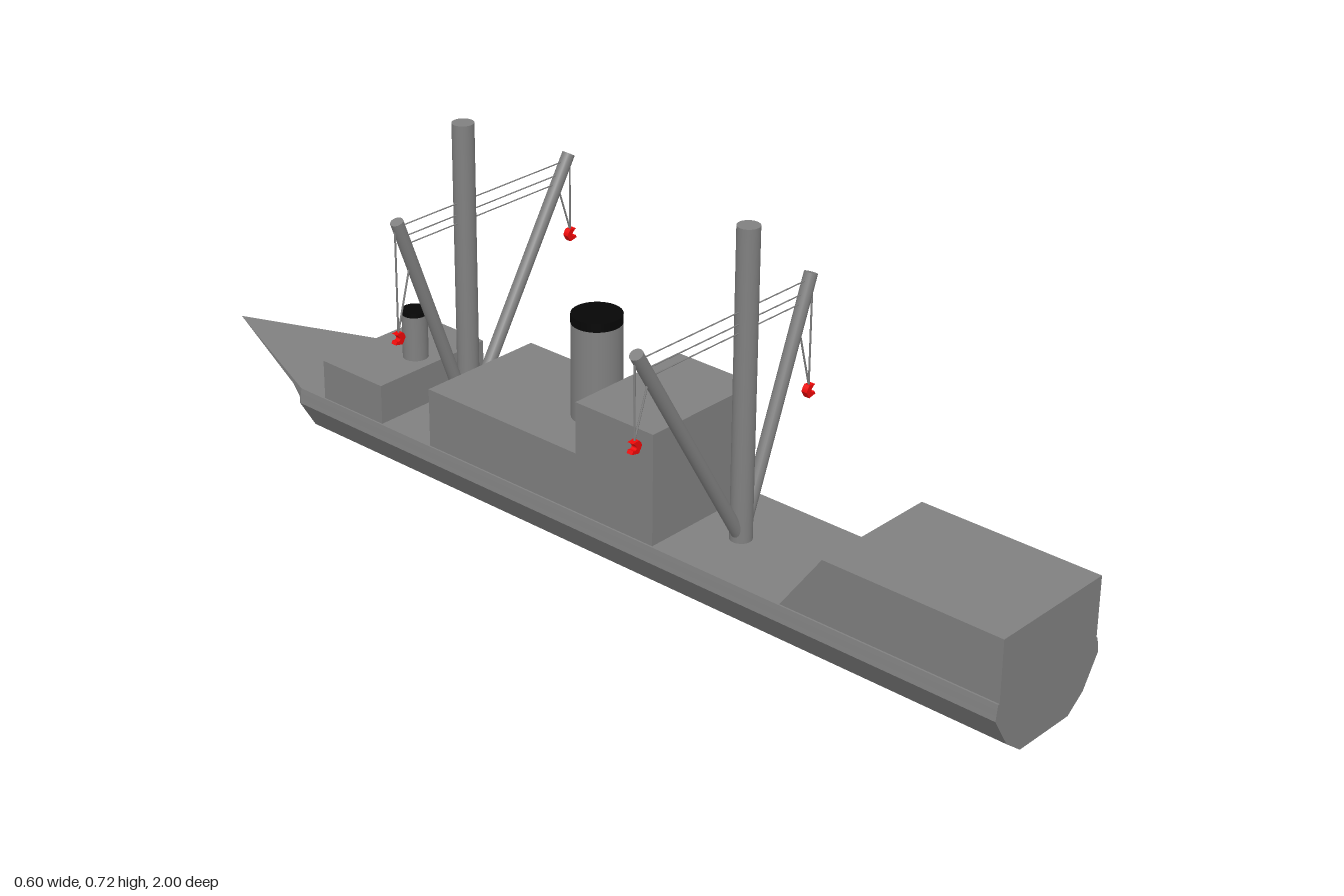
import * as THREE from 'three';

const grey = new THREE.MeshStandardMaterial({ color: 0x808080 });
const flatGrey = new THREE.MeshStandardMaterial({ color: 0x808080, flatShading: true });
const black = new THREE.MeshStandardMaterial({ color: 0x060606 });
const red = new THREE.MeshStandardMaterial({ color: 0xee0808 });
const V = (x, y, z) => new THREE.Vector3(x, y, z);

function add(parent, name, geometry, material) {
  const mesh = new THREE.Mesh(geometry, material);
  mesh.name = name;
  parent.add(mesh);
  return mesh;
}

// Cylinder running from point a to point b
function rod(parent, name, a, b, radius, sides, material = grey) {
  const dir = b.clone().sub(a);
  const mesh = add(parent, name, new THREE.CylinderGeometry(radius, radius, dir.length(), sides), material);
  mesh.position.copy(a).add(b).multiplyScalar(0.5);
  mesh.quaternion.setFromUnitVectors(V(0, 1, 0), dir.normalize());
}

// Chined hull: a constant section that closes onto a raked bow line
function hullGeometry() {
  const section = [[0.14, 0.12], [0.1417, 0.11], [0.1433, 0.1], [0.145, 0.09], [0.108, 0.03], [0.068, 0]];
  const ridge = [[0.12, -1], [0.097, -0.91], [0.081, -0.83], [0.065, -0.745], [0.03, -0.74], [0, -0.735]];
  const front = section.map(([x, y]) => V(x, y, 1));
  const shoulder = section.map(([x, y]) => V(x, y, -0.66));
  const bow = ridge.map(([y, z]) => V(0, y, z));
  const flip = p => V(-p.x, p.y, p.z);
  const out = [];
  const tri = (...pts) => pts.forEach(p => out.push(p.x, p.y, p.z));
  const quad = (a, b, c, d) => { tri(a, b, c); tri(a, c, d); };
  const last = section.length - 1;

  for (let i = 0; i < last; i++) {
    // side strips, mirrored
    for (const [p, q] of [[front, shoulder], [shoulder, bow]]) {
      quad(p[i], p[i + 1], q[i + 1], q[i]);
      quad(flip(q[i]), flip(q[i + 1]), flip(p[i + 1]), flip(p[i]));
    }
    // flat end
    quad(front[i], flip(front[i]), flip(front[i + 1]), front[i + 1]);
  }
  // deck and bottom
  quad(front[0], shoulder[0], flip(shoulder[0]), flip(front[0]));
  tri(shoulder[0], bow[0], flip(shoulder[0]));
  quad(flip(front[last]), flip(shoulder[last]), shoulder[last], front[last]);
  tri(flip(shoulder[last]), bow[last], shoulder[last]);

  const g = new THREE.BufferGeometry();
  g.setAttribute('position', new THREE.Float32BufferAttribute(out, 3));
  g.computeVertexNormals();
  return g;
}

// Deckhouse from a side profile of [z, y] points
function house(parent, name, profile) {
  const width = 0.273;
  const shape = new THREE.Shape(profile.map(([z, y]) => new THREE.Vector2(z, y)));
  const g = new THREE.ExtrudeGeometry(shape, { depth: width, bevelEnabled: false });
  g.translate(0, 0, -width / 2).rotateY(-Math.PI / 2);
  add(parent, name, g, flatGrey);
}

function funnel(parent, name, z, radius, y0, y1, band) {
  const g = new THREE.Group();
  g.name = name;
  rod(g, name + 'Pipe', V(0, y0, z), V(0, y1 - band, z), radius, 32);
  rod(g, name + 'Cap', V(0, y1 - band, z), V(0, y1, z), radius, 32, black);
  parent.add(g);
}

// Crescent hook opening towards +x
function hookGeometry() {
  const s = new THREE.Shape();
  s.moveTo(0.0105, 0.0105);
  s.lineTo(-0.005, 0.012);
  s.quadraticCurveTo(-0.011, 0.007, -0.0125, 0);
  s.lineTo(-0.005, -0.0125);
  s.lineTo(0.0125, -0.009);
  s.lineTo(0.009, -0.003);
  s.quadraticCurveTo(0.002, -0.006, 0, 0);
  s.quadraticCurveTo(0.001, 0.005, 0.0105, 0.0105);
  const g = new THREE.ExtrudeGeometry(s, { depth: 0.012, bevelEnabled: false, curveSegments: 6 });
  return g.translate(0, 0, -0.006);
}

// Mast with one long and one short boom; the long one points to +x
function crane(name) {
  const g = new THREE.Group();
  g.name = name;
  rod(g, 'mast', V(0, 0.12, 0), V(0, 0.72, 0), 0.021, 24);
  const booms = [
    { tip: V(0.279, 0.578, 0), hookX: 0.282, hookY: 0.41, guyY: 0.525 },
    { tip: V(-0.172, 0.577, 0), hookX: -0.177, hookY: 0.347, guyY: 0.493 },
  ];
  const foot = V(0, 0.12, 0);
  const onBoom = (b, y) => foot.clone().lerp(b.tip, (y - foot.y) / (b.tip.y - foot.y));
  for (const b of booms) {
    rod(g, 'boom', foot, b.tip, 0.0125, 20);
    const top = V(b.hookX, b.hookY + 0.01, 0);
    rod(g, 'hoistRope', top, V(b.hookX, 0.566, 0), 0.0018, 8);
    rod(g, 'guyRope', top, onBoom(b, b.guyY), 0.0018, 8);
    const hook = add(g, 'hook', hookGeometry(), red);
    hook.position.set(b.hookX, b.hookY, 0);
    if (b.hookX < 0) hook.rotation.y = Math.PI;
  }
  // ropes between the booms
  for (const y of [0.566, 0.543, 0.526])
    rod(g, 'spanRope', onBoom(booms[0], y), onBoom(booms[1], y), 0.0012, 6);
  return g;
}

export function createModel() {
  const model = new THREE.Group();
  model.name = 'cargoShip';
  const ship = new THREE.Group();
  ship.name = 'hullAndHouses';
  ship.position.x = 0.0035;
  model.add(ship);

  add(ship, 'hull', hullGeometry(), flatGrey);
  house(ship, 'endHouse', [[1, 0.12], [1, 0.24], [0.632, 0.24], [0.545, 0.12]]);
  house(ship, 'bridge', [[0.256, 0.12], [0.256, 0.34], [0.072, 0.34], [0.072, 0.238], [-0.303, 0.238], [-0.303, 0.12]]);
  house(ship, 'bowHouse', [[-0.434, 0.12], [-0.434, 0.2], [-0.595, 0.2], [-0.595, 0.12]]);
  funnel(ship, 'mainFunnel', -0.003, 0.048, 0.238, 0.443, 0.017);
  funnel(ship, 'smallFunnel', -0.481, 0.025, 0.2, 0.3, 0.009);

  // the two cranes are turned opposite ways
  const bowCrane = crane('bowCrane');
  bowCrane.position.set(0.003, 0, -0.336);
  const endCrane = crane('endCrane');
  endCrane.position.set(-0.0045, 0, 0.351);
  endCrane.rotation.y = Math.PI;
  model.add(bowCrane, endCrane);
  return model;
}
